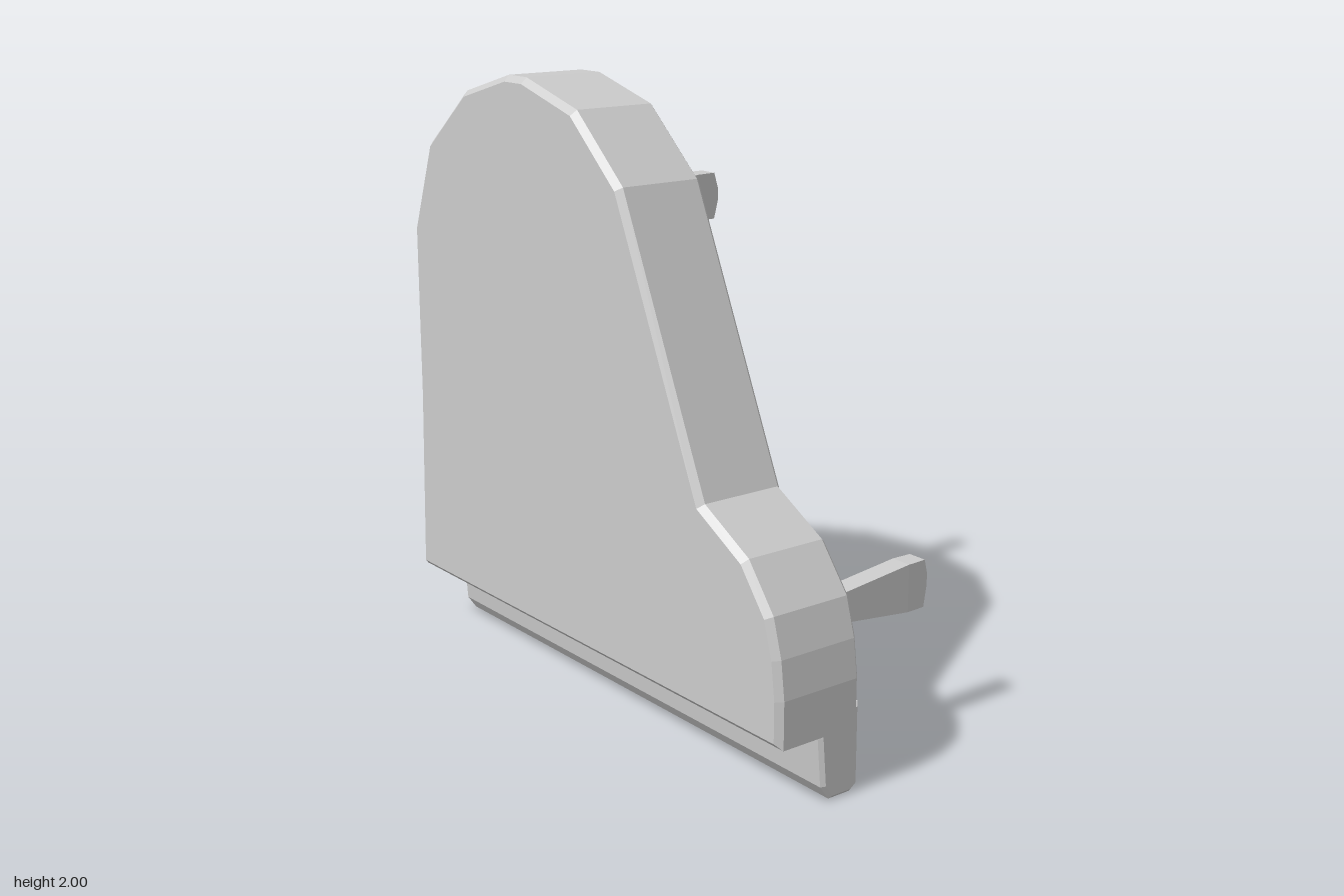
import * as THREE from 'three';

const material = new THREE.MeshStandardMaterial({ color: 0xcccccc, flatShading: true });

function addMesh(group, name, geometry) {
  const mesh = new THREE.Mesh(geometry, material);
  mesh.name = name;
  group.add(mesh);
  return mesh;
}

// Bevelled slab from an outline, whose overall size stays that of the outline
function slab(points, depth, bevel) {
  const shape = new THREE.Shape(points.map(([x, y]) => new THREE.Vector2(x, y)));
  const geometry = new THREE.ExtrudeGeometry(shape, {
    depth: depth - 2 * bevel, bevelThickness: bevel, bevelSize: bevel,
    bevelOffset: -bevel, bevelSegments: 1,
  });
  return geometry.translate(0, 0, bevel);
}

// Rectangular sections [z, x0, x1, y0, y1], listed from front to back
function loft(sections) {
  const position = [], index = [];
  sections.forEach(([z, x0, x1, y0, y1], i) => {
    position.push(x0, y0, z, x1, y0, z, x1, y1, z, x0, y1, z);
    if (i === 0) return;
    for (let k = 0; k < 4; k++) {
      const a = (i - 1) * 4 + k, b = (i - 1) * 4 + (k + 1) % 4;
      index.push(a, a + 4, b, b, a + 4, b + 4);
    }
  });
  const e = (sections.length - 1) * 4;
  index.push(0, 1, 2, 0, 2, 3, e, e + 3, e + 2, e, e + 2, e + 1);
  const geometry = new THREE.BufferGeometry();
  geometry.setAttribute('position', new THREE.Float32BufferAttribute(position, 3));
  geometry.setIndex(index);
  const flat = geometry.toNonIndexed();
  flat.computeVertexNormals();
  return flat;
}

export function createModel() {
  const group = new THREE.Group();
  group.name = 'grandPiano';

  // Curved case, resting on its keyboard edge
  const outline = [
    [-0.98, 0.21], [0.98, 0.21], [0.98, 0.36], [0.965, 0.48], [0.93, 0.6], [0.82, 0.74],
    [0.62, 0.85], [0.23, 1.72], [0, 1.925], [-0.27, 2], [-0.37, 2], [-0.62, 1.93],
    [-0.85, 1.74], [-0.96, 1.44], [-0.96, 0.85],
  ];
  addMesh(group, 'case', slab(outline, 0.315, 0.02)).position.z = 0.092;

  // Keyboard ledge: (z, y) profile swept along x
  const profile = [
    [0.092, 0.28], [0.092, 0.02], [0.12, 0], [0.2, 0], [0.232, 0.045], [0.245, 0.2], [0.245, 0.28],
  ].map(([z, y]) => [-z, y]);
  const ledge = slab(profile, 1.955, 0.012);
  ledge.rotateY(Math.PI / 2).translate(-0.9775, 0, 0);
  addMesh(group, 'keyboardLedge', ledge);

  // Three legs: foot block, neck, flaring blade and pointed end
  const legSections = [
    [0.11, 0.063, 0.066], [0.07, 0.06, 0.064], [0.03, 0.035, 0.045], [0.015, 0.03, 0.035],
    [0, 0.036, 0.045], [-0.3, 0.036, 0.078], [-0.37, 0.033, 0.078], [-0.405, 0.01, 0.02],
  ].map(([z, w, h]) => [z, -w, w, -h, h]);
  const legs = { tailLeg: [-0.32, 1.555], rightLeg: [-0.77, 0.475], leftLeg: [0.73, 0.475] };
  for (const [name, [x, y]] of Object.entries(legs)) {
    addMesh(group, name, loft(legSections)).position.set(x, y, 0);
  }

  // Pedal support with its drooping foot
  const pedals = new THREE.Group();
  pedals.name = 'pedalSupport';
  addMesh(pedals, 'pedalBase', loft([
    [0.11, -0.21, 0.03, 0.31, 0.43], [0.07, -0.2, 0.02, 0.32, 0.42], [0.035, -0.16, -0.03, 0.35, 0.4],
  ]));
  addMesh(pedals, 'pedalStem', loft([
    [0.05, -0.155, -0.04, 0.35, 0.405], [-0.35, -0.155, -0.04, 0.315, 0.415],
  ]));
  addMesh(pedals, 'pedalFoot', loft([
    [-0.325, -0.16, -0.03, 0.33, 0.415], [-0.352, -0.205, 0.04, 0.23, 0.415],
    [-0.378, -0.205, 0.04, 0.23, 0.415], [-0.403, -0.195, 0.04, 0.35, 0.4],
  ]));
  group.add(pedals);
  return group;
}
